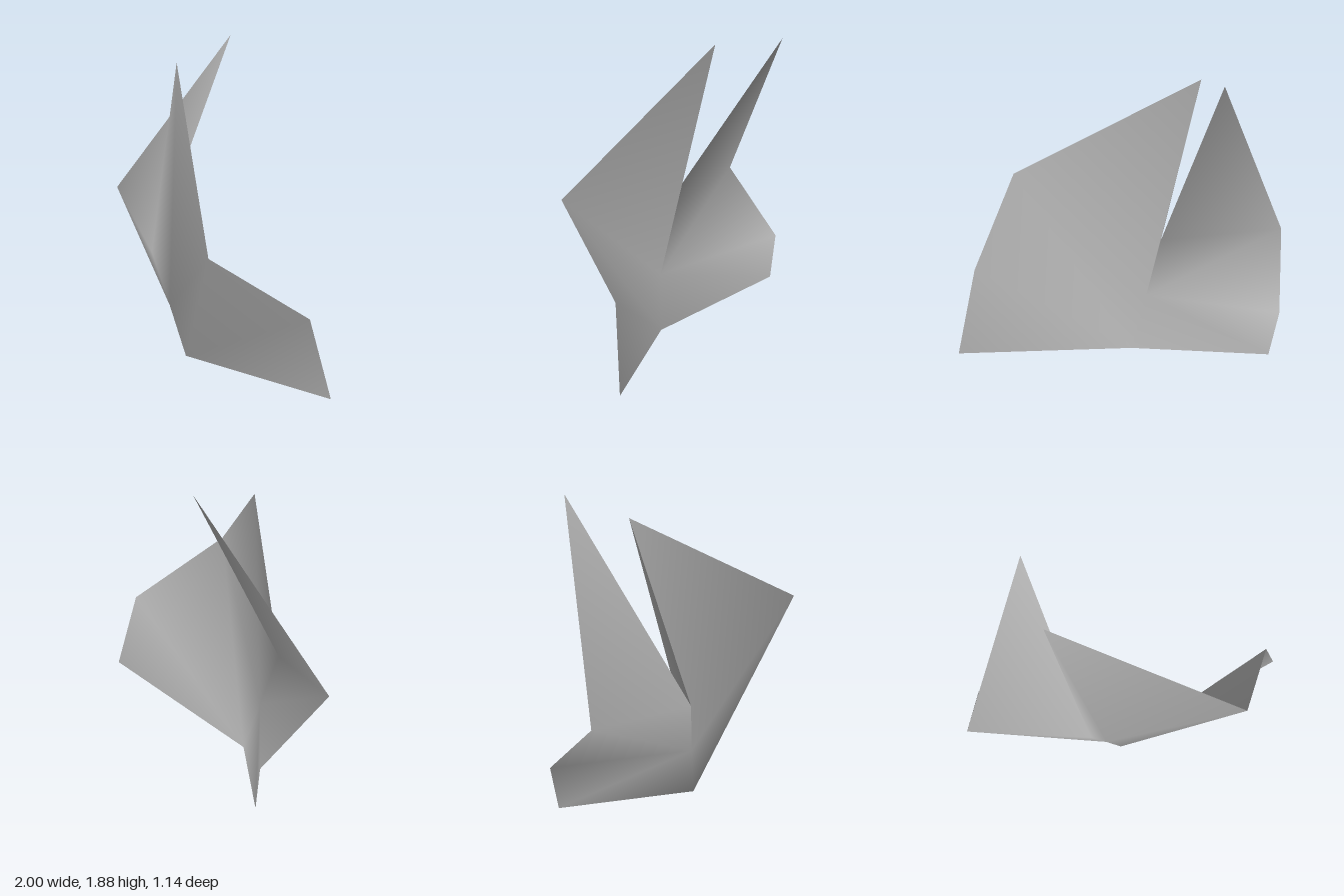
import * as THREE from 'three';

// Corners of the folded sheet
const corners = {
  rearTip: [-0.355, 1.88, -0.57],
  frontTip: [-0.43, 1.8, -0.165],
  shoulder: [0.457, 1.115, 0.572],
  sideUpper: [0.86, 0.71, 0.18],
  sideLower: [0.997, 0.21, 0.135],
  foot: [-0.13, 0, 0.115],
  heel: [-0.755, 0.12, -0.507],
  notch: [-0.803, 0.403, -0.53],
  wing: [-1, 0.785, -0.193],
  slitEnd: [-0.353, 0.685, 0.166],
  fold: [-0.24, 0.338, 0.137],
};

// Facets, counter-clockwise seen from the front
const facets = [
  // right-hand flap, turned over along the slit
  ['fold', 'frontTip', 'slitEnd'],
  ['fold', 'shoulder', 'frontTip'],
  ['fold', 'foot', 'shoulder'],
  ['foot', 'sideUpper', 'shoulder'],
  ['foot', 'sideLower', 'sideUpper'],
  // rear flap with its spike
  ['slitEnd', 'rearTip', 'wing'],
  ['slitEnd', 'wing', 'fold'],
  ['wing', 'notch', 'fold'],
  ['notch', 'heel', 'fold'],
  ['heel', 'foot', 'fold'],
];

export function createModel() {
  const group = new THREE.Group();
  group.name = 'foldedSheet';

  const names = Object.keys(corners);
  const geometry = new THREE.BufferGeometry();
  geometry.setAttribute('position', new THREE.Float32BufferAttribute(Object.values(corners).flat(), 3));
  geometry.setIndex(facets.flat().map((name) => names.indexOf(name)));
  geometry.computeVertexNormals(); // shared corners give smooth shading

  const material = new THREE.MeshStandardMaterial({ color: 0xb0b0b0, side: THREE.DoubleSide });
  material.name = 'plain grey';

  const sheet = new THREE.Mesh(geometry, material);
  sheet.name = 'sheet';
  group.add(sheet);
  return group;
}
